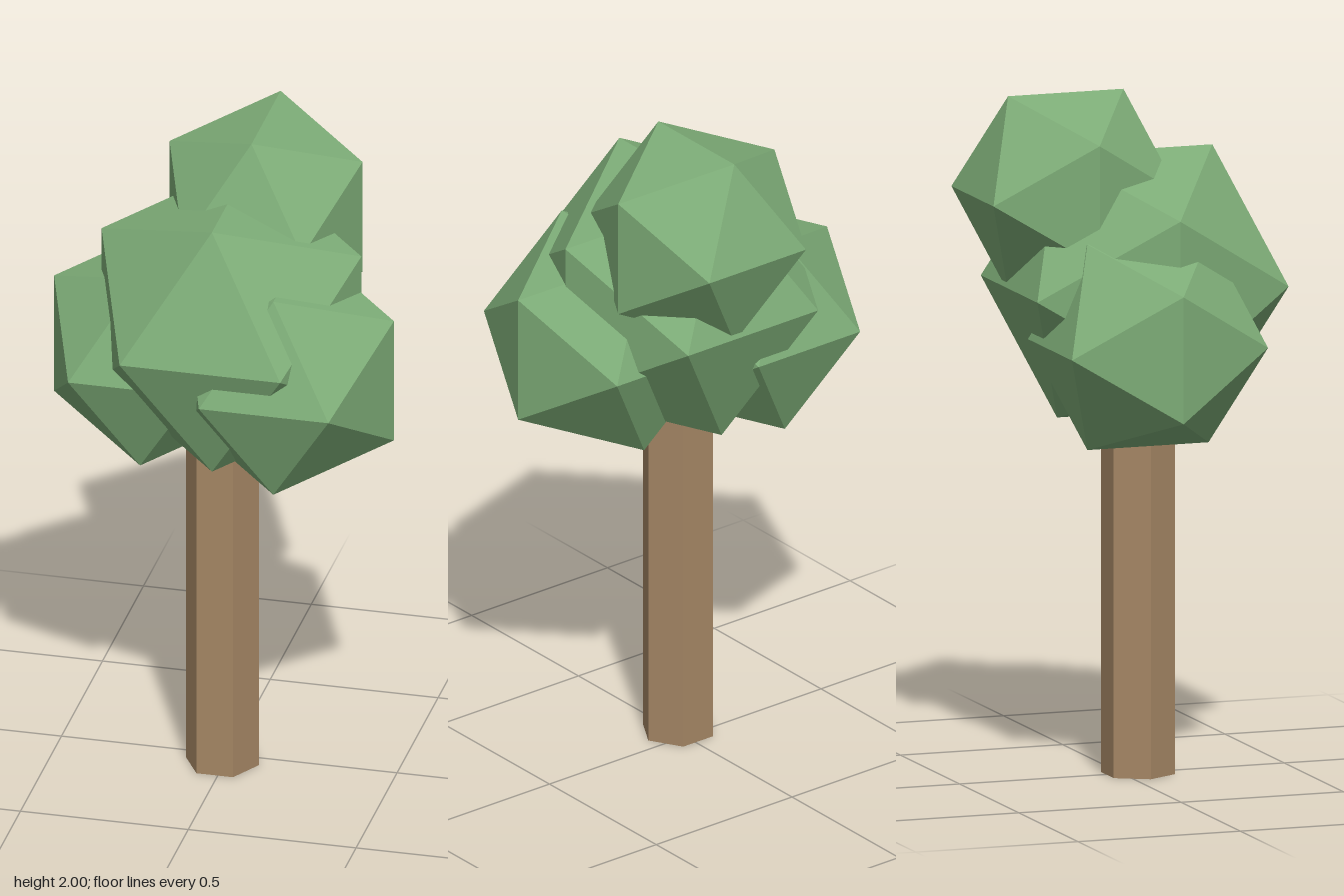
import * as THREE from 'three';

export function createModel() {
  const tree = new THREE.Group();
  tree.name = 'tree';

  const leafGreen = new THREE.MeshStandardMaterial({ color: 0x7dac77, flatShading: true });
  leafGreen.name = 'leaf green';
  const barkBrown = new THREE.MeshStandardMaterial({ color: 0xa58765, flatShading: true });
  barkBrown.name = 'bark brown';

  // Six-sided trunk, its top hidden inside the crown
  const trunkHeight = 1.35;
  const trunk = new THREE.Mesh(
    new THREE.CylinderGeometry(0.109, 0.109, trunkHeight, 6, 1, false, Math.PI / 6),
    barkBrown
  );
  trunk.name = 'trunk';
  trunk.position.set(-0.009, trunkHeight / 2, 0.046);
  tree.add(trunk);

  // Crown of overlapping icosahedra, upper edges running front to back
  const clumps = [
    ['topFoliage', 0.338, 0.074, 1.712, -0.146],
    ['middleFoliage', 0.455, 0.018, 1.443, 0.046],
    ['leftFoliage', 0.367, 0.208, 1.33, 0.121],
    ['rightFoliage', 0.355, -0.22, 1.302, 0],
  ];
  for (const [name, radius, x, y, z] of clumps) {
    const clump = new THREE.Mesh(new THREE.IcosahedronGeometry(radius, 0), leafGreen);
    clump.name = name;
    clump.position.set(x, y, z);
    clump.rotation.y = Math.PI / 2;
    tree.add(clump);
  }

  return tree;
}
